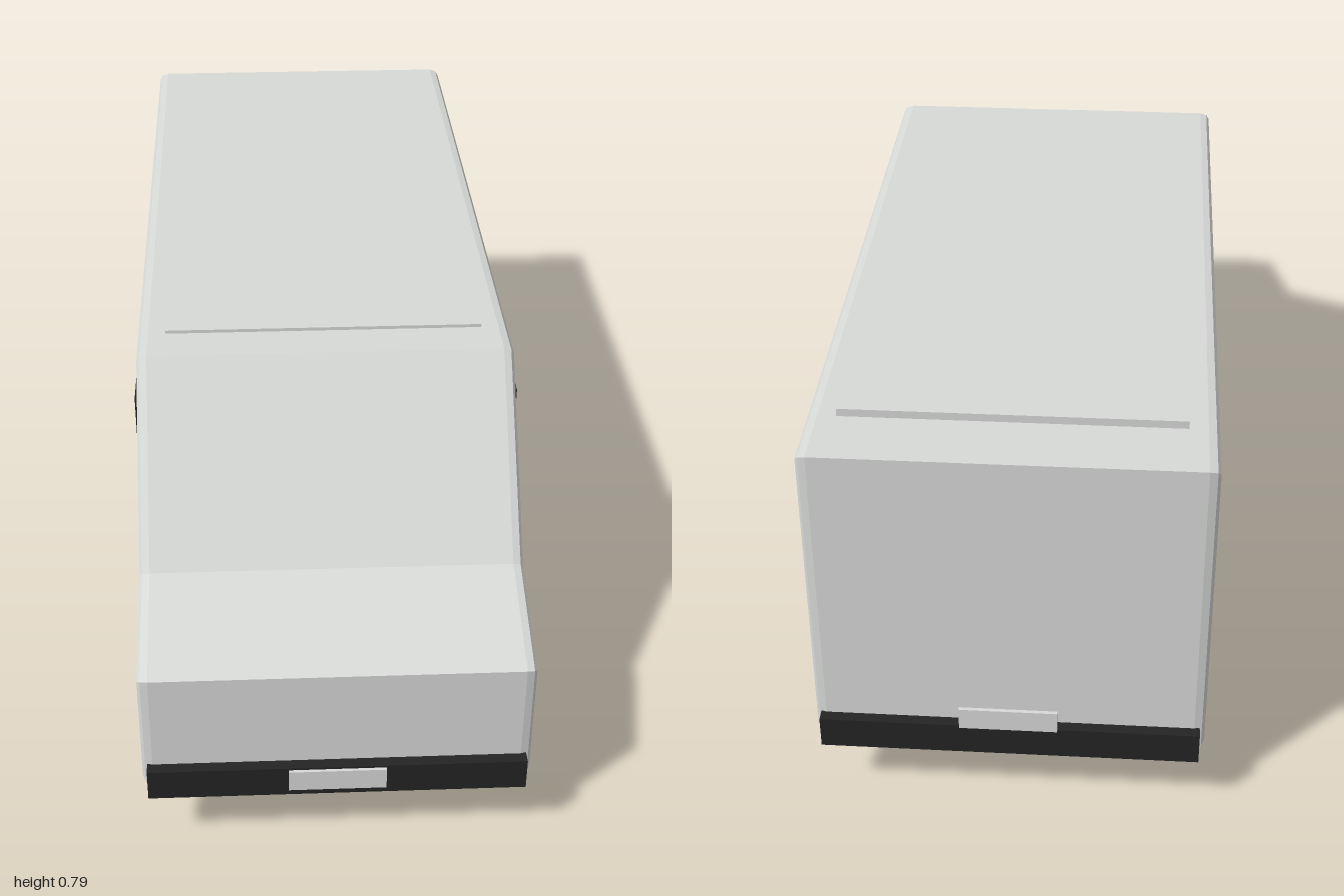
import * as THREE from 'three';

export function createModel() {
  const van = new THREE.Group();
  van.name = 'van';

  const material = (name, color) => {
    const m = new THREE.MeshStandardMaterial({ color });
    m.name = name;
    return m;
  };
  const paint = material('pale grey paint', 0xd8dad8);
  const black = material('black trim', 0x242424);
  const steel = material('wheel steel', 0x929aa5);

  const add = (name, geometry, mat, x = 0, y = 0, z = 0) => {
    const mesh = new THREE.Mesh(geometry, mat);
    mesh.name = name;
    mesh.position.set(x, y, z);
    van.add(mesh);
    return mesh;
  };
  // Box given by its limits on each axis
  const block = (name, mat, [x0, x1], [y0, y1], [z0, z1]) =>
    add(name, new THREE.BoxGeometry(x1 - x0, y1 - y0, z1 - z0), mat,
      (x0 + x1) / 2, (y0 + y1) / 2, (z0 + z1) / 2);

  // Body: side profile (z, y) extruded across the width with softened edges
  const halfWidth = 0.364, bevel = 0.02;
  const profile = new THREE.Shape([
    [-0.967, 0.138], [0.97, 0.138], [0.97, 0.39], [0.75, 0.465], [0.485, 0.782], [-0.967, 0.772],
  ].map(([z, y]) => new THREE.Vector2(z, y)));
  const bodyGeometry = new THREE.ExtrudeGeometry(profile, {
    depth: 2 * (halfWidth - bevel),
    bevelEnabled: true, bevelThickness: bevel, bevelSize: 0.012, bevelOffset: -0.012, bevelSegments: 2,
  });
  bodyGeometry.translate(0, 0, bevel - halfWidth).rotateY(-Math.PI / 2);
  add('body', bodyGeometry, paint);

  // Raised roof panel
  block('roofPanel', paint, [-0.31, 0.31], [0.765, 0.788], [-0.84, 0.4]);

  // Bumpers and number plates
  block('frontBumper', black, [-0.354, 0.354], [0.124, 0.189], [0.94, 0.992]);
  block('rearBumper', black, [-0.354, 0.354], [0.124, 0.189], [-0.988, -0.962]);
  block('frontPlate', paint, [-0.091, 0.091], [0.14, 0.185], [0.991, 0.998]);
  block('rearPlate', paint, [-0.091, 0.091], [0.195, 0.24], [-1, -0.993]);

  // Tyre and hub share an axis along x
  const tyre = new THREE.CylinderGeometry(0.139, 0.139, 0.09, 12).rotateZ(Math.PI / 2);
  const hub = new THREE.CylinderGeometry(0.083, 0.083, 0.095, 16).rotateZ(Math.PI / 2);

  for (const [sideName, s] of [['left', 1], ['right', -1]]) {
    const span = (a, b) => (s > 0 ? [a, b] : [-b, -a]);

    // Side window and stripe
    block(sideName + 'Window', black, span(0.361, 0.369), [0.48, 0.706], [0.185, 0.515]);
    block(sideName + 'Stripe', black, span(0.361, 0.369), [0.43, 0.45], [-0.8, 0.295]);

    // Wheels with straight arch trims above
    for (const [endName, z] of [['Front', 0.605], ['Rear', -0.617]]) {
      add(sideName + endName + 'Tyre', tyre, black, s * 0.328, 0.139, z);
      add(sideName + endName + 'Hub', hub, steel, s * 0.33, 0.141, z);
      block(sideName + endName + 'Arch', black, span(0.355, 0.373), [0.25, 0.283], [z - 0.16, z + 0.16]);
    }
  }
  return van;
}
